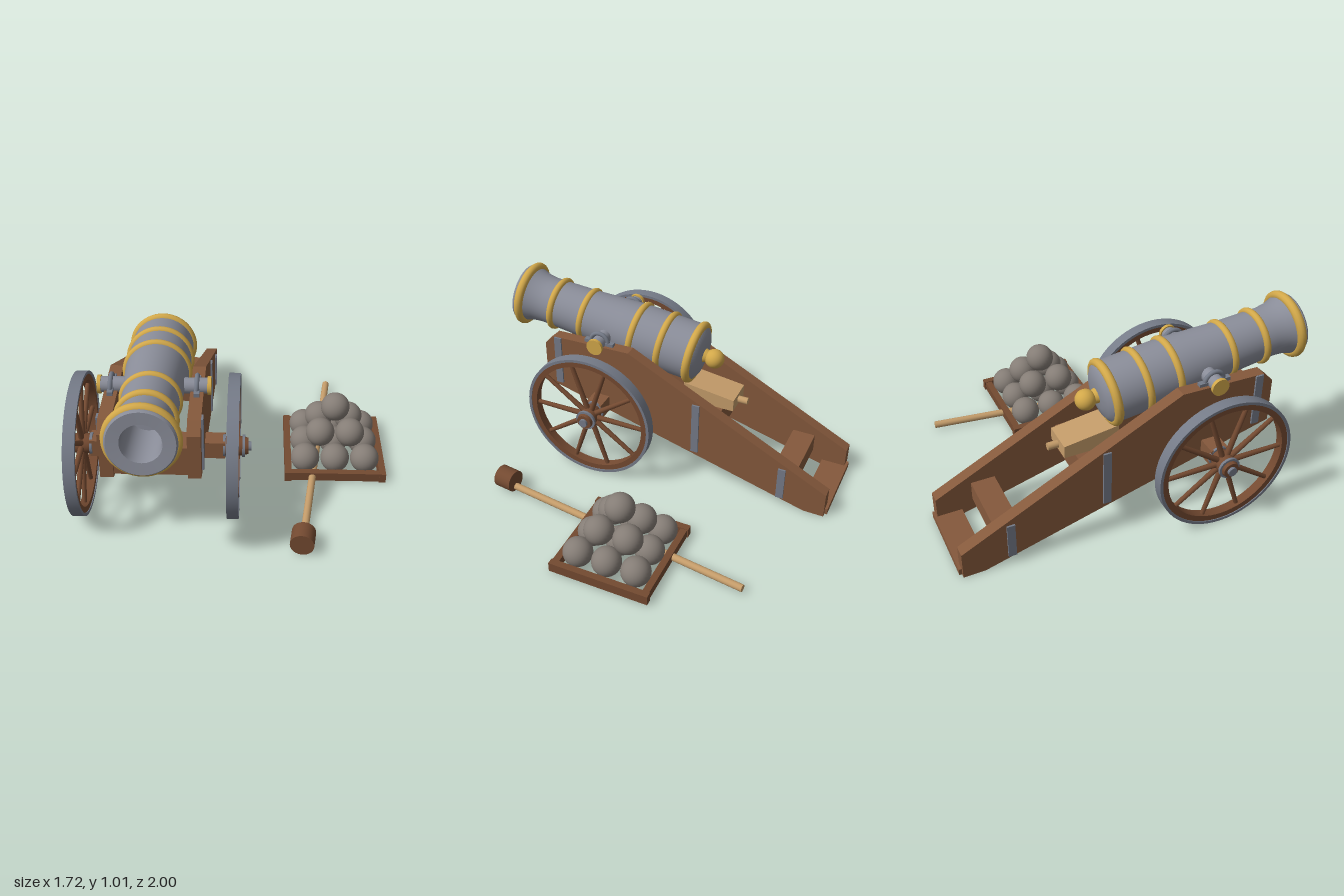
import * as THREE from 'three';
import { toCreasedNormals } from 'three/addons/utils/BufferGeometryUtils.js';

const mat = (name, color) => {
  const m = new THREE.MeshStandardMaterial({ color });
  m.name = name;
  return m;
};

export function createModel() {
  const wood = mat('carriage wood', 0x85593c);
  const darkWood = mat('wheel wood', 0x744a31);
  const paleWood = mat('pale wood', 0xc49c6a);
  const gunmetal = mat('gunmetal', 0x8a8d99);
  const iron = mat('iron fittings', 0x757b88);
  const brass = mat('brass', 0xd2a84a);
  const stone = mat('shot', 0x857d76);

  const root = new THREE.Group();
  root.name = 'cannonWithShot';
  const add = (parent, name, geo, material, x = 0, y = 0, z = 0) => {
    const m = new THREE.Mesh(geo, material);
    m.name = name;
    m.position.set(x, y, z);
    parent.add(m);
    return m;
  };
  const group = (parent, name, x = 0, y = 0, z = 0) => {
    const g = new THREE.Group();
    g.name = name;
    g.position.set(x, y, z);
    parent.add(g);
    return g;
  };
  const box = (w, h, d) => new THREE.BoxGeometry(w, h, d);
  const cyl = (r0, r1, h, n = 24) => new THREE.CylinderGeometry(r0, r1, h, n);
  const cylX = (r, h, n = 24) => cyl(r, r, h, n).rotateZ(-Math.PI / 2);
  const lathe = (pts, n = 48) => toCreasedNormals(
    new THREE.LatheGeometry(pts.map(p => new THREE.Vector2(...p)), n), 0.5);
  const ring = (ri, ro, w, n = 48) =>
    lathe([[ri, -w / 2], [ro, -w / 2], [ro, w / 2], [ri, w / 2], [ri, -w / 2]], n);
  // profile given as (z, y), extruded along x and centred on it
  const sideShape = (pts, width) => {
    const s = new THREE.Shape(pts.map(p => new THREE.Vector2(...p)));
    return new THREE.ExtrudeGeometry(s, { depth: width, bevelEnabled: false })
      .translate(0, 0, -width / 2).rotateY(-Math.PI / 2);
  };

  const gun = group(root, 'gun', -0.38);

  // Barrel, turned around its tilted axis with the trunnions at its origin
  const tilt = THREE.MathUtils.degToRad(7);
  const barrel = group(gun, 'barrel', 0, 0.763, 0.39);
  barrel.rotation.x = Math.PI / 2 - tilt;
  add(barrel, 'barrelBody', lathe([
    [0, -0.55], [0.07, -0.55], [0.12, -0.54], [0.15, -0.522], [0.163, -0.5],
    [0.164, -0.15], [0.158, -0.06], [0.142, 0.171], [0.136, 0.363], [0.134, 0.43],
    [0.141, 0.49], [0.155, 0.53], [0.166, 0.56], [0.166, 0.585], [0.158, 0.595],
    [0.097, 0.592], [0.092, 0.57], [0.092, 0.3], [0, 0.3]]), gunmetal);
  const bands = [[0.555, 0.16, 0.025], [0.363, 0.135, 0.02], [0.171, 0.136, 0.02],
    [-0.151, 0.158, 0.021], [-0.322, 0.158, 0.021], [-0.499, 0.156, 0.024]];
  for (const [t, r, tube] of bands) {
    add(barrel, 'barrelBand', new THREE.TorusGeometry(r, tube, 12, 48).rotateX(Math.PI / 2), brass, 0, t);
  }
  add(barrel, 'knobNeck', cyl(0.045, 0.028, 0.06), brass, 0, -0.565);
  add(barrel, 'knob', new THREE.SphereGeometry(0.055, 24, 16), brass, 0, -0.61);
  add(barrel, 'trunnion', cylX(0.04, 0.54), gunmetal);

  // Carriage cheeks, with trunnion caps, holding arches and straps on each side
  const cheekProfile = [[-0.985, 0.155], [-0.985, 0.005], [-0.87, 0.005], [0.72, 0.44],
    [0.72, 0.69], [0.665, 0.745], [0.2, 0.755]];
  const straps = [[0.637, 0.445, 0.745], [-0.21, 0.21, 0.53], [-0.727, 0.055, 0.255]];
  for (const s of [-1, 1]) {
    const side = s > 0 ? 'left' : 'right';
    add(gun, side + 'Cheek', sideShape(cheekProfile, 0.066), wood, s * 0.213);
    add(gun, side + 'TrunnionCap', cylX(0.047, 0.018), brass, s * 0.273, 0.763, 0.39);
    const arch = new THREE.TorusGeometry(0.052, 0.012, 10, 24, Math.PI).rotateY(Math.PI / 2);
    add(gun, side + 'TrunnionArch', arch, iron, s * 0.213, 0.763, 0.39);
    add(gun, side + 'ArchFoot', box(0.028, 0.02, 0.175), iron, s * 0.213, 0.76, 0.39);
    for (const [z, y0, y1] of straps) {
      add(gun, side + 'Strap', box(0.012, y1 - y0, 0.043), iron, s * 0.25, (y0 + y1) / 2, z);
    }
  }

  // Cross pieces between the cheeks
  const transoms = [[0.64, 0.525, 0.16, 0.12], [-0.24, 0.36, 0.14, 0.14], [-0.725, 0.151, 0.108, 0.13]];
  for (const [z, y, h, d] of transoms) add(gun, 'transom', box(0.38, h, d), wood, 0, y, z);
  add(gun, 'trailPlate', box(0.45, 0.036, 0.15), wood, 0, 0.027, -0.925);

  // Elevating wedge
  add(gun, 'wedge', sideShape([[-0.37, 0.43], [-0.07, 0.43], [-0.07, 0.54], [-0.37, 0.5]], 0.172), paleWood);
  add(gun, 'wedgeHandle', cyl(0.02, 0.02, 0.07, 16).rotateX(Math.PI / 2), paleWood, 0, 0.46, -0.392);

  // Axle and spoked wheels
  add(gun, 'axle', box(0.7, 0.096, 0.096), wood, 0, 0.382, 0.372);
  for (const s of [-1, 1]) {
    const wheel = group(gun, s > 0 ? 'leftWheel' : 'rightWheel', s * 0.395, 0.382, 0.372);
    wheel.rotation.z = -s * Math.PI / 2;
    add(wheel, 'tyre', ring(0.362, 0.378, 0.06, 64), iron);
    add(wheel, 'rim', ring(0.33, 0.363, 0.05, 64), darkWood);
    for (let i = 0; i < 10; i++) {
      const spoke = cyl(0.012, 0.016, 0.31, 10).rotateZ(-Math.PI / 2).translate(0.185, 0, 0);
      add(wheel, 'spoke', spoke.rotateY(Math.PI / 2 + i * Math.PI / 5), darkWood);
    }
    add(wheel, 'hub', lathe([[0, -0.075], [0.042, -0.075], [0.052, -0.03], [0.052, 0.03],
      [0.042, 0.075], [0, 0.075]], 32), darkWood);
    for (const y of [-0.05, 0.05]) add(wheel, 'hubBand', ring(0.04, 0.058, 0.014, 32), iron, 0, y);
    add(wheel, 'axleCap', cyl(0.024, 0.024, 0.03), iron, 0, 0.075);
  }

  // Open tray
  const shot = group(root, 'shotPile', 0.572, 0, -0.09);
  for (const s of [-1, 1]) {
    add(shot, 'traySideRail', box(0.037, 0.056, 0.56), darkWood, s * 0.261, 0.034, 0);
    add(shot, 'trayEndRail', box(0.53, 0.05, 0.037), darkWood, 0, 0.034, s * 0.256);
  }
  // Pyramid of balls, three layers
  for (let layer = 0; layer < 3; layer++) {
    const n = 3 - layer;
    for (let i = 0; i < n; i++) for (let j = 0; j < n; j++) {
      add(shot, 'ball', new THREE.SphereGeometry(0.08, 28, 18), stone,
        (i - (n - 1) / 2) * 0.166, 0.09 + layer * 0.116, (j - (n - 1) / 2) * 0.166);
    }
  }

  // Rammer lying beneath the tray
  const rammer = group(root, 'rammer', 0.373, 0, 0.722);
  rammer.rotation.y = -0.132;
  add(rammer, 'rammerPole', cyl(0.02, 0.02, 1.49, 16).rotateX(Math.PI / 2), paleWood, 0, 0.032, -0.76);
  add(rammer, 'rammerHead', cyl(0.062, 0.062, 0.105, 28).rotateX(Math.PI / 2), darkWood, 0, 0.068, 0);

  return root;
}
